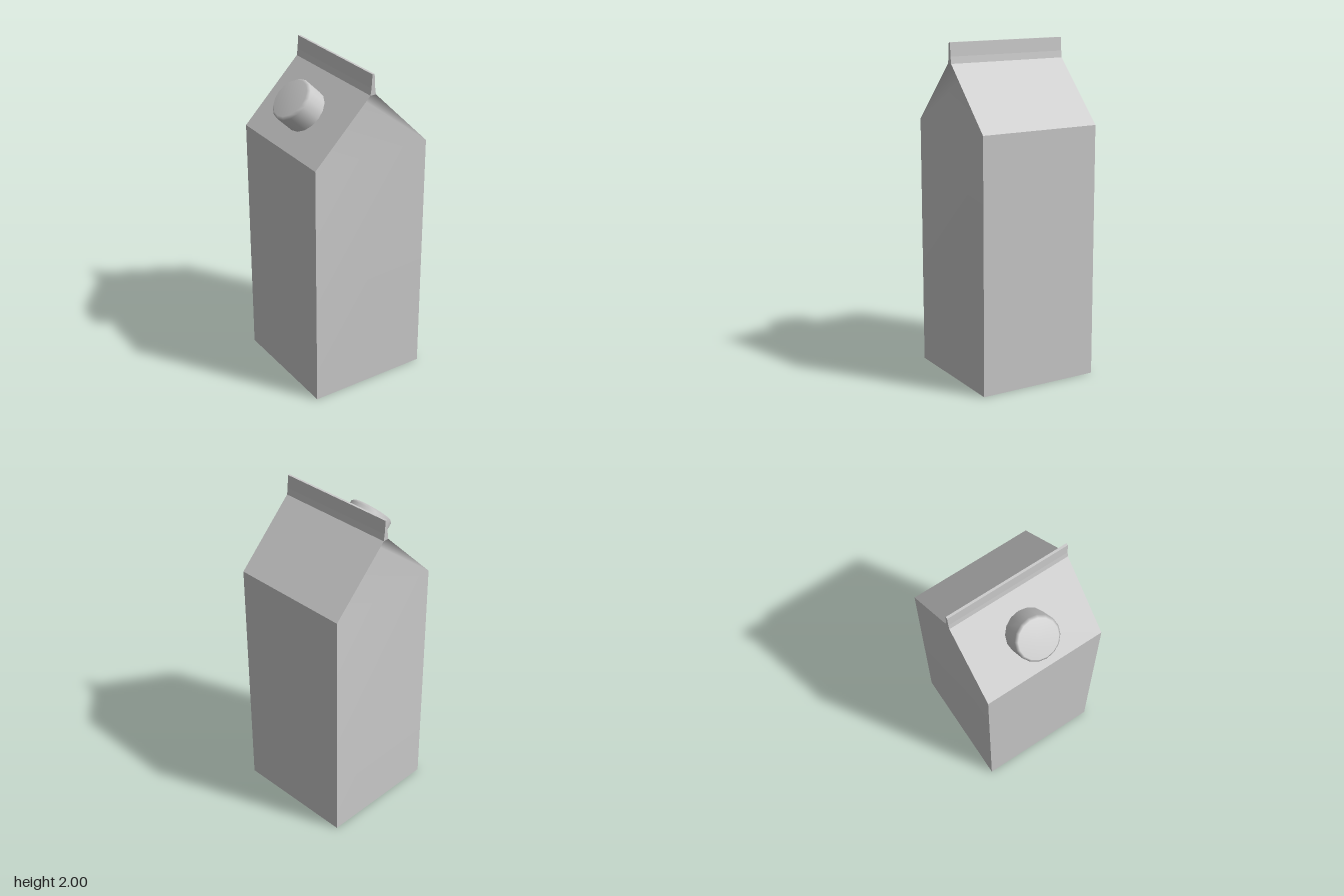
import * as THREE from 'three';

const material = new THREE.MeshStandardMaterial({ color: 0xcccccc, side: THREE.DoubleSide });
const W = 0.375; // half width and half depth
const SHOULDER = 1.52, RIDGE = 1.88, TOP = 2;

function addMesh(parent, name, geometry) {
  const mesh = new THREE.Mesh(geometry, material);
  mesh.name = name;
  parent.add(mesh);
  return mesh;
}

function surface(points, faces) {
  const g = new THREE.BufferGeometry();
  g.setAttribute('position', new THREE.Float32BufferAttribute(points.flat(), 3));
  g.setIndex(faces.flat());
  g.computeVertexNormals();
  return g;
}

// Panel running front to back between two profile points, on side s
function panel([x0, y0], [x1, y1], s) {
  const pts = [[s * x0, y0, W], [s * x0, y0, -W], [s * x1, y1, -W], [s * x1, y1, W]];
  return surface(pts, s > 0 ? [[0, 1, 2], [0, 2, 3]] : [[0, 2, 1], [0, 3, 2]]);
}

export function createModel() {
  const model = new THREE.Group();
  model.name = 'milkCarton';
  const carton = new THREE.Group();
  carton.name = 'carton';
  carton.position.x = 0.003;
  model.add(carton);

  // Half cross-section, mirrored: base, wall, roof slope, sealed fin
  const profile = [[0, 0], [W, 0], [W, SHOULDER], [0.018, RIDGE], [0.012, 1.92], [0.007, TOP], [0, TOP]];
  const names = ['base', 'sideWall', 'roofPanel', 'finFoot', 'finSide', 'finTop'];
  for (const s of [1, -1]) {
    names.forEach((name, i) => {
      addMesh(carton, (s > 0 ? 'left_' : 'right_') + name, panel(profile[i], profile[i + 1], s));
    });
  }

  // End wall with the gable folded inward beneath the roof edges, smoothly shaded
  const endWall = surface(
    [[-W, 0, W], [W, 0, W], [W, SHOULDER, W], [-W, SHOULDER, W],
      [0.018, RIDGE, W], [-0.018, RIDGE, W], [0, 1.82, W - 0.12]],
    [[0, 1, 2], [0, 2, 3], [3, 2, 6], [2, 4, 6], [4, 5, 6], [5, 3, 6]]
  );
  // Narrow end of the fin
  const finEnd = surface(
    [[-0.018, RIDGE, W], [0.018, RIDGE, W], [-0.012, 1.92, W], [0.012, 1.92, W], [-0.007, TOP, W], [0.007, TOP, W]],
    [[0, 1, 3], [0, 3, 2], [2, 3, 5], [2, 5, 4]]
  );
  for (const [side, turn] of [['front', 0], ['back', Math.PI]]) {
    addMesh(carton, side + '_wallAndGable', endWall).rotation.y = turn;
    addMesh(carton, side + '_finEnd', finEnd).rotation.y = turn;
  }

  // Screw cap standing square on the right roof slope
  const capProfile = [[0.133, -0.005], [0.133, 0.132], [0.118, 0.147], [0, 0.147]]
    .map(([r, y]) => new THREE.Vector2(r, y));
  const cap = addMesh(model, 'screwCap', new THREE.LatheGeometry(capProfile, 16));
  cap.position.set(-0.191, 1.697, 0);
  cap.rotation.z = Math.PI / 4;

  return model;
}
